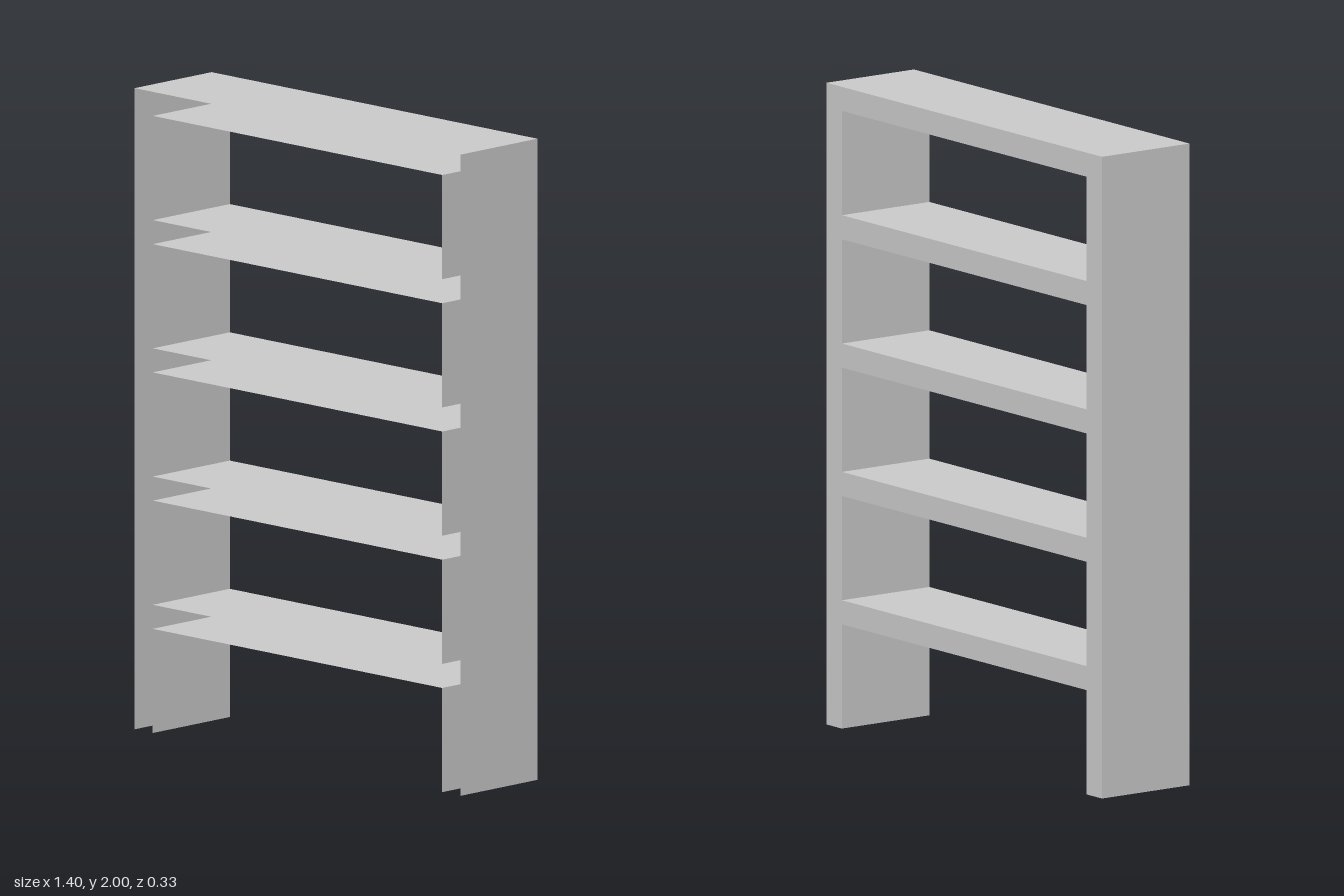
import * as THREE from 'three';

const HALF_W = 0.7, INNER = 0.622, HEIGHT = 2, DEPTH = 0.334;
const BOARD = 0.075, STEP = 0.4, SHELVES = 5;

export function createModel() {
  const group = new THREE.Group();
  const material = new THREE.MeshStandardMaterial({
    color: 0xcccccc, flatShading: true, side: THREE.DoubleSide,
  });

  const add = (name, geometry) => {
    const mesh = new THREE.Mesh(geometry, material);
    mesh.name = name;
    group.add(mesh);
    return mesh;
  };

  // Horizontal sheet facing up (dir 1) or down (dir -1)
  const sheet = (name, halfWidth, y, dir) => {
    const geometry = new THREE.PlaneGeometry(halfWidth * 2, DEPTH).rotateX(-dir * Math.PI / 2);
    add(name, geometry).position.y = y;
  };

  // Upright sheet facing +x (dir 1) or -x (dir -1)
  const wall = (name, x, y0, y1, dir) => {
    const geometry = new THREE.PlaneGeometry(DEPTH, y1 - y0).rotateY(dir * Math.PI / 2);
    add(name, geometry).position.set(x, (y0 + y1) / 2, 0);
  };

  // Back face of the frame, with an opening between each pair of shelves
  const frame = new THREE.Shape([
    [-HALF_W, 0], [-INNER, 0], [-INNER, STEP - BOARD], [INNER, STEP - BOARD],
    [INNER, 0], [HALF_W, 0], [HALF_W, HEIGHT], [-HALF_W, HEIGHT],
  ].map(([x, y]) => new THREE.Vector2(x, y)));
  for (let i = 1; i < SHELVES; i++) {
    const y0 = i * STEP, y1 = y0 + STEP - BOARD;
    frame.holes.push(new THREE.Path([
      [-INNER, y0], [-INNER, y1], [INNER, y1], [INNER, y0],
    ].map(([x, y]) => new THREE.Vector2(x, y))));
  }
  const back = new THREE.ShapeGeometry(frame).rotateY(Math.PI); // symmetric, so turning it faces it to -z
  add('backFrame', back).position.z = -DEPTH / 2;

  // Hollow boards, open at the front and under the feet
  for (let i = 0; i < SHELVES; i++) {
    const top = (i + 1) * STEP, bottom = top - BOARD;
    sheet('shelfUnderside', INNER, bottom, -1);
    if (i < SHELVES - 1) sheet('shelfTop', INNER, top, 1);
    for (const s of [-1, 1]) wall('sideInnerWall', s * INNER, i * STEP, bottom, -s);
  }
  sheet('topPanel', HALF_W, HEIGHT, 1);
  for (const s of [-1, 1]) wall('sideOuterWall', s * HALF_W, 0, HEIGHT, s);

  return group;
}
